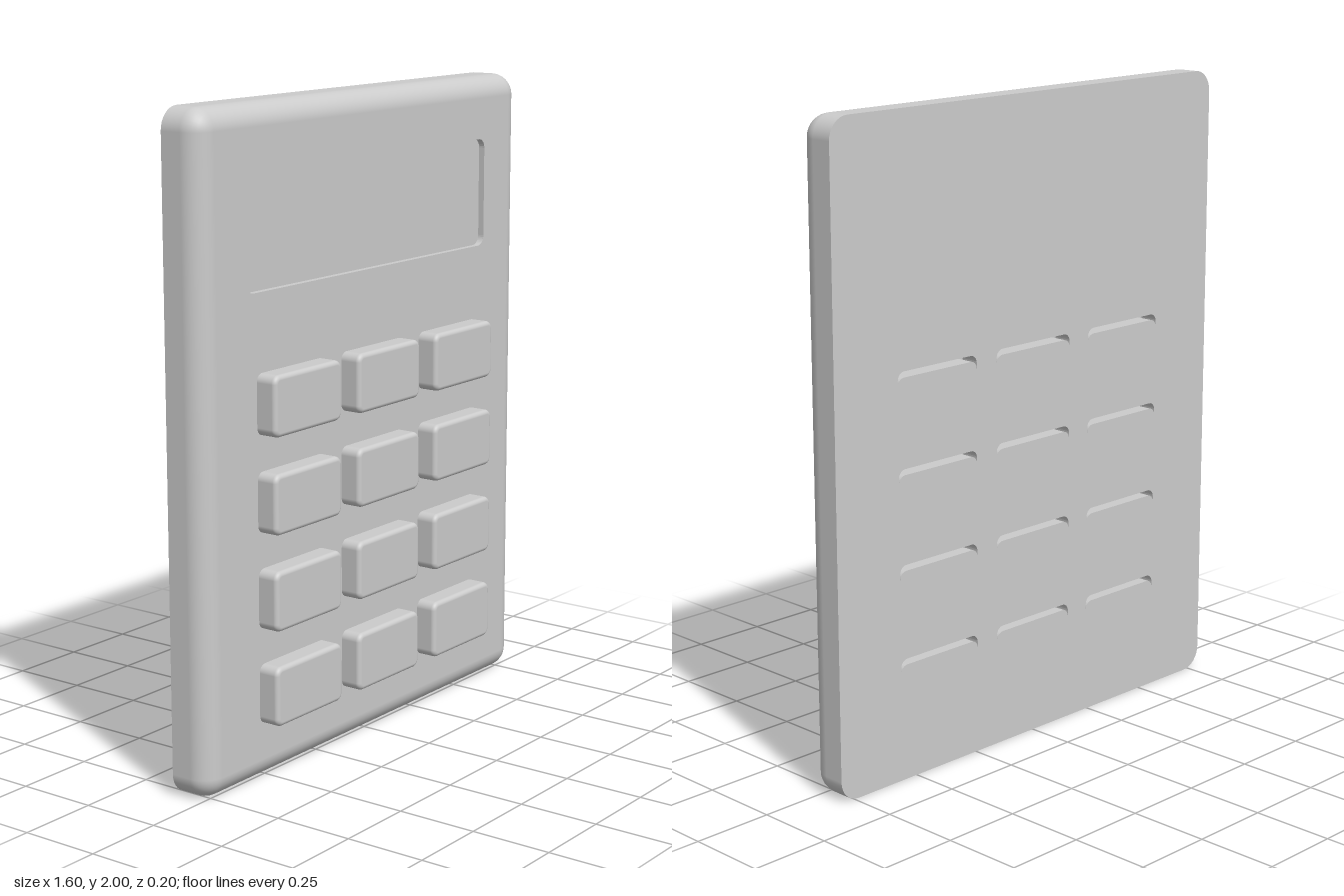
import * as THREE from 'three';

const STEPS = 8; // segments per rounded corner
const BACK = -0.1, FACE = 0.033;
const KEY_W = 0.317, KEY_H = 0.182, KEY_R = 0.025;

const grey = new THREE.MeshStandardMaterial({ color: 0xcccccc });
const greyDouble = new THREE.MeshStandardMaterial({ color: 0xcccccc, side: THREE.DoubleSide });

// Counter-clockwise rounded rectangle, starting at the top right corner
function outline(w, h, r, cx = 0, cy = 0) {
  const points = [], normals = [];
  const corners = [[1, 1], [-1, 1], [-1, -1], [1, -1]];
  corners.forEach(([sx, sy], k) => {
    for (let i = 0; i <= STEPS; i++) {
      const a = (k + i / STEPS) * Math.PI / 2;
      const n = new THREE.Vector2(Math.cos(a), Math.sin(a));
      normals.push(n);
      points.push(new THREE.Vector2(
        cx + sx * (w / 2 - r) + r * n.x,
        cy + sy * (h / 2 - r) + r * n.y));
    }
  });
  return { points, normals };
}

// Side skin of a plate whose front edge is rounded by the given fillet
function filletSkin(w, h, r, zBack, zFront, fillet) {
  const rings = [{ inset: 0, z: zBack, tilt: 0 }];
  for (let i = 0; i <= STEPS; i++) {
    const tilt = i / STEPS * Math.PI / 2;
    rings.push({
      inset: fillet * (1 - Math.cos(tilt)),
      z: zFront - fillet + fillet * Math.sin(tilt),
      tilt,
    });
  }
  const { points, normals } = outline(w, h, r);
  const n = points.length, pos = [], nor = [], index = [];
  rings.forEach(({ inset, z, tilt }, k) => {
    points.forEach((p, j) => {
      const d = normals[j], c = Math.cos(tilt);
      pos.push(p.x - d.x * inset, p.y - d.y * inset, z);
      nor.push(d.x * c, d.y * c, Math.sin(tilt));
      if (k === 0) return;
      const a = (k - 1) * n + j, b = (k - 1) * n + (j + 1) % n;
      index.push(a, b, b + n, a, b + n, a + n);
    });
  });
  const g = new THREE.BufferGeometry();
  g.setAttribute('position', new THREE.Float32BufferAttribute(pos, 3));
  g.setAttribute('normal', new THREE.Float32BufferAttribute(nor, 3));
  g.setIndex(index);
  return g;
}

// Flat face at depth z, with optional holes
function flatFace(points, z, holes = []) {
  const shape = new THREE.Shape(points);
  holes.forEach((h) => shape.holes.push(new THREE.Path(h)));
  return new THREE.ShapeGeometry(shape).translate(0, 0, z);
}

// Straight wall following a closed outline between two depths
function wall(points, z0, z1) {
  const pos = [];
  points.forEach((p, i) => {
    const q = points[(i + 1) % points.length];
    pos.push(p.x, p.y, z0, q.x, q.y, z1, q.x, q.y, z0,
      p.x, p.y, z0, p.x, p.y, z1, q.x, q.y, z1);
  });
  const g = new THREE.BufferGeometry();
  g.setAttribute('position', new THREE.Float32BufferAttribute(pos, 3));
  g.computeVertexNormals();
  return g;
}

function add(parent, name, geometry, material = grey) {
  const mesh = new THREE.Mesh(geometry, material);
  mesh.name = name;
  parent.add(mesh);
  return mesh;
}

function namedGroup(parent, name) {
  const g = new THREE.Group();
  g.name = name;
  parent.add(g);
  return g;
}

export function createModel() {
  const model = new THREE.Group();
  model.name = 'calculator';

  // Key centres: three columns by four rows
  const centres = [];
  for (const y of [0.27, 0.56, 0.85, 1.14]) {
    for (const x of [-0.4, 0, 0.4]) centres.push([x, y]);
  }

  // Thin slit above each key position, cut into the back
  const slits = centres.map(([x, y]) => {
    const top = outline(KEY_W, KEY_H, KEY_R, x, y).points.slice(0, 2 * (STEPS + 1));
    const raised = top.map((p) => new THREE.Vector2(p.x, p.y + 0.018));
    return [...raised, ...top.reverse()];
  });

  // Case: rounded skin, front face with the screen opening, back face with slits
  const body = namedGroup(model, 'case');
  const R = 0.067, fillet = 0.066;
  add(body, 'caseSides', filletSkin(1.6, 2, R, BACK, FACE, fillet).translate(0, 1, 0));
  const screen = outline(1.2, 0.34, 0.03, 0, 1.635).points;
  const front = outline(1.6 - 2 * fillet, 2 - 2 * fillet, R - fillet, 0, 1).points;
  add(body, 'caseFront', flatFace(front, FACE, [screen]));
  const back = outline(1.6, 2, R, 0, 1).points;
  add(body, 'caseBack', flatFace(back, 0, slits).rotateY(Math.PI).translate(0, 0, BACK));

  // Recessed screen
  const display = namedGroup(model, 'screen');
  add(display, 'screenFrame', wall(screen, FACE - 0.02, FACE), greyDouble);
  add(display, 'screenPanel', flatFace(screen, FACE - 0.02));

  // Slit walls and floors
  const slitGroup = namedGroup(model, 'backSlits');
  slits.forEach((s) => {
    add(slitGroup, 'slitWall', wall(s, BACK, BACK + 0.06), greyDouble);
    add(slitGroup, 'slitFloor', flatFace(s, BACK + 0.06), greyDouble);
  });

  // Keys
  const keys = namedGroup(model, 'keys');
  const edge = 0.014;
  const side = filletSkin(KEY_W, KEY_H, KEY_R, FACE - 0.01, 0.1, edge);
  const cap = flatFace(outline(KEY_W - 2 * edge, KEY_H - 2 * edge, KEY_R - edge).points, 0.1);
  centres.forEach(([x, y]) => {
    const key = namedGroup(keys, 'key');
    add(key, 'keySides', side);
    add(key, 'keyTop', cap);
    key.position.set(x, y, 0);
  });

  return model;
}
